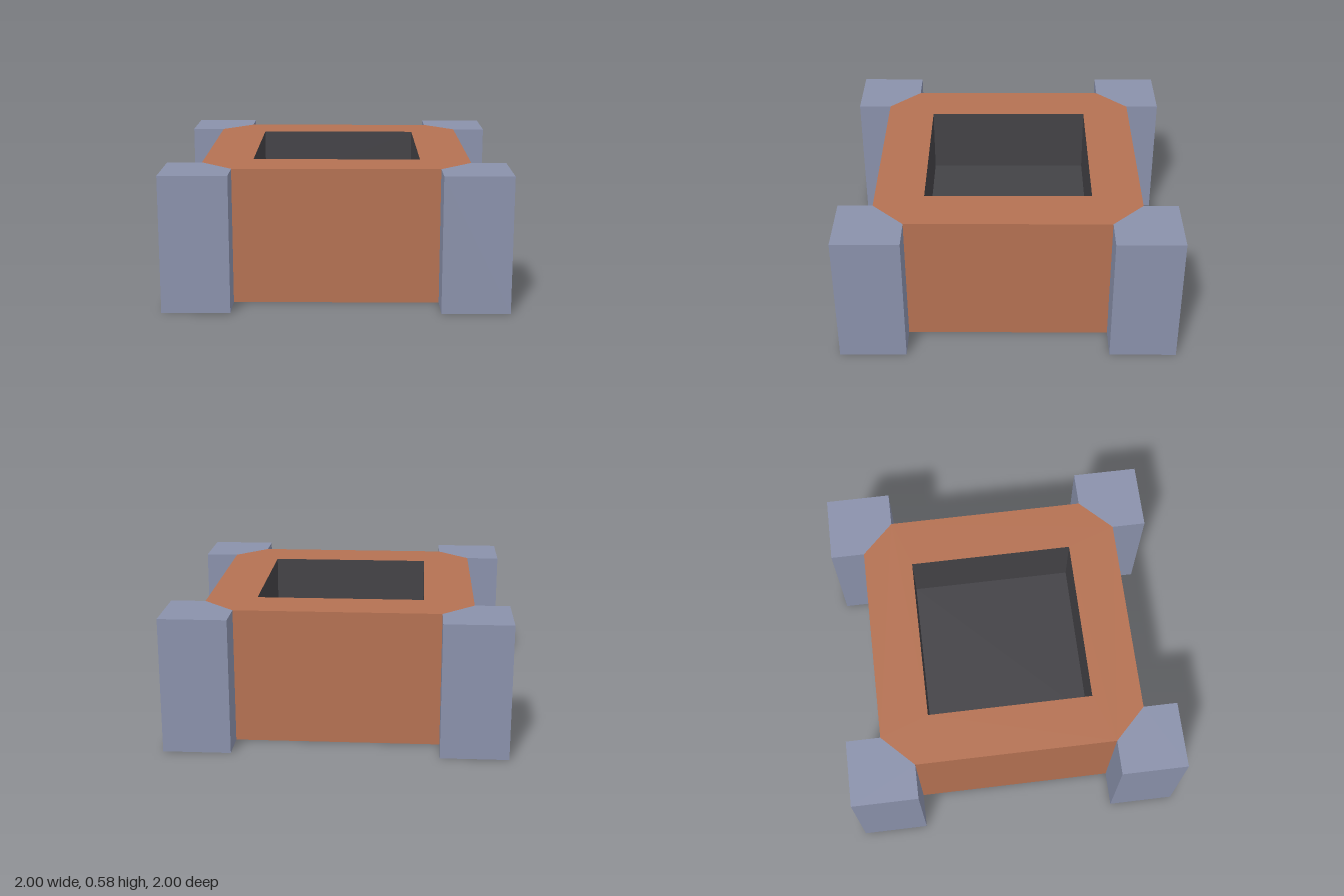
import * as THREE from 'three';

const H = 0.58;        // overall height
const POST = 0.724;    // outer edge of the corner posts
const BODY = 0.575;    // body half width
const CUT = 0.437;     // where the chamfered body corners begin
const WELL = 0.361;    // half width of the recess
const FLOOR = 0.29;    // height of the recess floor

export function createModel() {
  const material = (name, color) => Object.assign(new THREE.MeshStandardMaterial({ color }), { name });
  const clay = material('clay', 0xb47152);
  const slate = material('slate', 0x8a91ab);
  const charcoal = material('charcoal', 0x434246);

  const model = new THREE.Group();
  model.name = 'squareBasin';
  const add = (name, geometry, mat, turn = 0) => {
    const mesh = new THREE.Mesh(geometry, mat);
    mesh.name = name;
    mesh.rotation.y = turn;
    model.add(mesh);
  };
  const points = (list) => list.map(([x, y]) => new THREE.Vector2(x, y));
  const square = points([[-WELL, -WELL], [WELL, -WELL], [WELL, WELL], [-WELL, WELL]]);
  const octagon = () => new THREE.Shape(points([
    [BODY, -CUT], [BODY, CUT], [CUT, BODY], [-CUT, BODY],
    [-BODY, CUT], [-BODY, -CUT], [-CUT, -BODY], [CUT, -BODY],
  ]));

  // Top rim with the square opening, and the underside
  const rim = octagon();
  rim.holes.push(new THREE.Path(square.reverse()));
  add('rim', new THREE.ShapeGeometry(rim).rotateX(-Math.PI / 2).translate(0, H, 0), clay);
  add('underside', new THREE.ShapeGeometry(octagon()).rotateX(Math.PI / 2), slate);

  // Recess floor
  add('recessFloor', new THREE.PlaneGeometry(2 * WELL, 2 * WELL).rotateX(-Math.PI / 2).translate(0, FLOOR, 0), charcoal);

  // Five-sided corner post, fitted against the chamfered body corner
  const post = new THREE.Shape(points([[BODY, CUT], [POST, CUT], [POST, POST], [CUT, POST], [CUT, BODY]]));
  const postGeometry = new THREE.ExtrudeGeometry(post, { depth: H, bevelEnabled: false })
    .rotateX(Math.PI / 2).translate(0, H, 0);
  const outerWall = new THREE.PlaneGeometry(2 * CUT, H).translate(0, H / 2, BODY);
  const innerWall = new THREE.PlaneGeometry(2 * WELL, H - FLOOR).translate(0, (H + FLOOR) / 2, -WELL);

  // Four matching sides
  for (let i = 0; i < 4; i++) {
    const turn = i * Math.PI / 2;
    add('cornerPost', postGeometry, slate, turn);
    add('outerWall', outerWall, clay, turn);
    add('recessWall', innerWall, charcoal, turn);
  }

  // The whole basin stands turned on its vertical axis
  model.rotation.y = -THREE.MathUtils.degToRad(32.6);
  const root = new THREE.Group();
  root.name = 'basin';
  root.add(model);
  return root;
}
